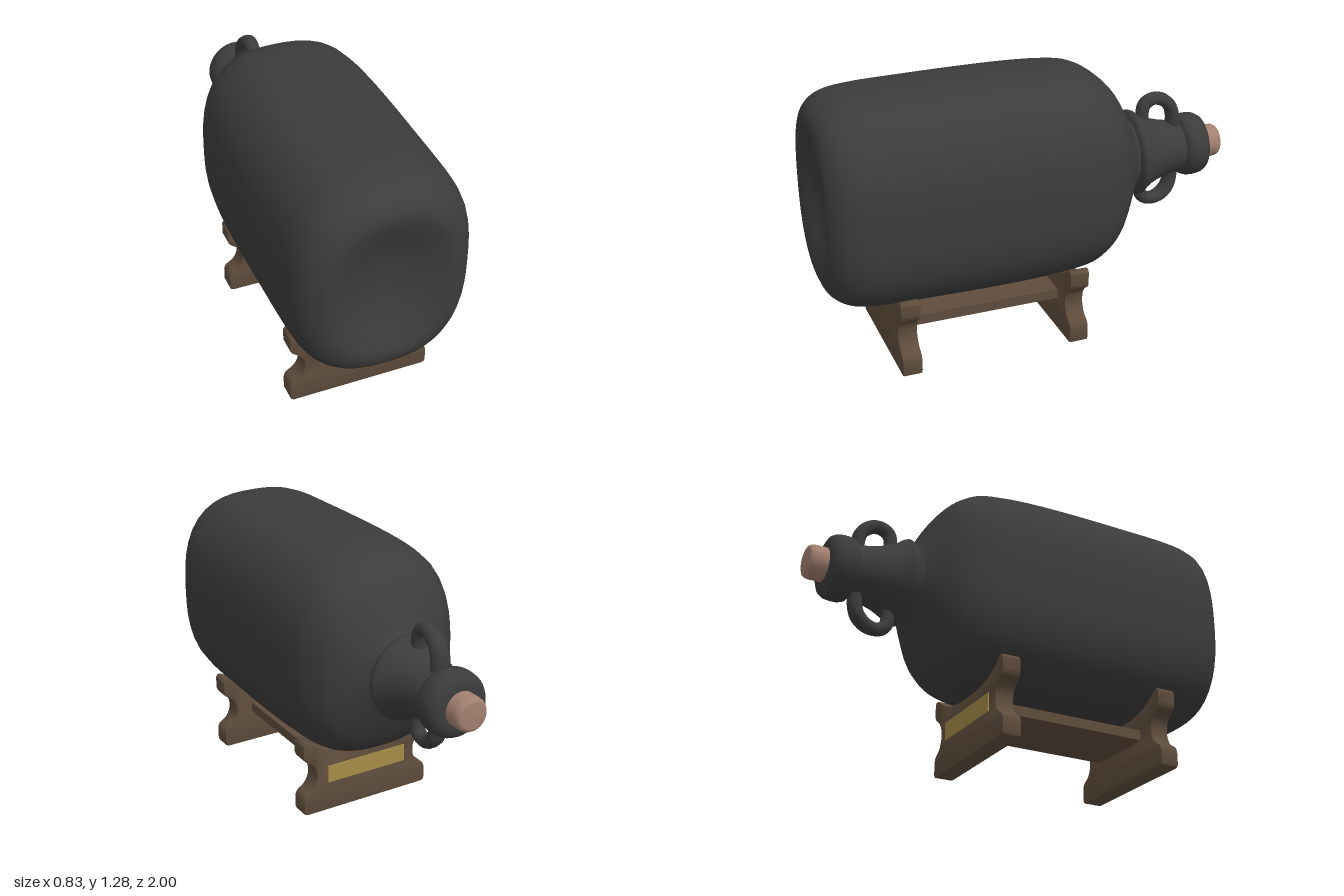
import * as THREE from 'three';
import { toCreasedNormals } from 'three/addons/utils/BufferGeometryUtils.js';

const AXIS_Y = 0.778; // height of the jug's axis

function mat(name, color) {
  const m = new THREE.MeshStandardMaterial({ color });
  m.name = name;
  return m;
}

function part(parent, name, geometry, material) {
  const mesh = new THREE.Mesh(geometry, material);
  mesh.name = name;
  parent.add(mesh);
  return mesh;
}

// Squarish-oval point: exponent 2 is an ellipse, higher is boxier
function ovalPoint(angle, hx, hy, n) {
  const c = Math.cos(angle), s = Math.sin(angle);
  const r = (Math.abs(c) ** n + Math.abs(s) ** n) ** (-1 / n);
  return [hx * r * c, hy * r * s];
}

// Jug body: loops of squarish-oval sections from the dimpled base to the neck
function bodyGeometry() {
  const sections = [ // z, half width, half height
    [0.925, 0.001, 0.001], [0.932, 0.08, 0.1], [0.955, 0.16, 0.2], [0.985, 0.23, 0.29],
    [1, 0.285, 0.355], [0.982, 0.325, 0.41], [0.94, 0.368, 0.448], [0.88, 0.395, 0.473],
    [0.77, 0.408, 0.488], [0.5, 0.413, 0.495], [0.2, 0.415, 0.498], [0, 0.412, 0.495],
    [-0.15, 0.403, 0.486], [-0.25, 0.388, 0.47], [-0.32, 0.362, 0.437], [-0.38, 0.327, 0.384],
    [-0.44, 0.262, 0.292], [-0.48, 0.208, 0.22], [-0.505, 0.178, 0.185], [-0.54, 0.165, 0.165],
  ].map((p) => new THREE.Vector3(...p));
  const rings = new THREE.CatmullRomCurve3(sections).getPoints(60);
  const seg = 48, pos = [], index = [];
  rings.forEach((p, i) => {
    const n = 2 + 0.7 * THREE.MathUtils.smoothstep(p.y, 0.15, 0.38);
    for (let j = 0; j < seg; j++) {
      pos.push(...ovalPoint((j / seg) * Math.PI * 2, p.y, p.z, n), p.x);
      if (i === 0) continue;
      const k = (j + 1) % seg, a = (i - 1) * seg, b = i * seg;
      index.push(a + j, b + j, b + k, a + j, b + k, a + k);
    }
  });
  const g = new THREE.BufferGeometry();
  g.setAttribute('position', new THREE.Float32BufferAttribute(pos, 3));
  g.setIndex(index);
  g.computeVertexNormals();
  return g;
}

// Turned part along the jug's axis; points are [radius, distance towards the back]
function turned(points) {
  const g = new THREE.LatheGeometry(points.map((p) => new THREE.Vector2(...p)), 40);
  return g.rotateX(-Math.PI / 2);
}

// Waisted board with a hollow top that follows the jug
function boardGeometry() {
  const side = new THREE.SplineCurve([
    [0.335, 0.075], [0.325, 0.1], [0.29, 0.125], [0.27, 0.16], [0.266, 0.195],
    [0.273, 0.23], [0.295, 0.26], [0.325, 0.283], [0.335, 0.305],
  ].map((p) => new THREE.Vector2(...p))).getPoints(24);
  const half = [new THREE.Vector2(0.318, 0), new THREE.Vector2(0.33, 0.005),
    new THREE.Vector2(0.335, 0.017), ...side, new THREE.Vector2(0.335, 0.362),
    new THREE.Vector2(0.325, 0.376)];
  for (let i = 0; i < 12; i++) {
    const x = 0.31 * (1 - i / 12);
    const y = AXIS_Y - 0.49 * (1 - (x / 0.415) ** 2.7) ** (1 / 2.7);
    half.push(new THREE.Vector2(x, Math.min(y, 0.376)));
  }
  const mirrored = half.map((p) => new THREE.Vector2(-p.x, p.y)).reverse();
  const shape = new THREE.Shape([...half, ...mirrored]);
  const g = new THREE.ExtrudeGeometry(shape, {
    depth: 0.078, bevelEnabled: true, bevelThickness: 0.007, bevelSize: 0.007,
    bevelOffset: -0.007, bevelSegments: 2,
  });
  g.translate(0, 0, -0.039);
  return toCreasedNormals(g, 0.6);
}

export function createModel() {
  const glaze = mat('dark glaze', 0x3c3c3c);
  const wood = mat('brown wood', 0x5e4c3c);
  const corkMat = mat('cork', 0xa38070);
  const brass = mat('brass', 0xa58b48);

  const model = new THREE.Group();
  model.name = 'jugOnStand';

  const jug = new THREE.Group();
  jug.name = 'jug';
  jug.position.y = AXIS_Y;
  model.add(jug);
  part(jug, 'body', bodyGeometry(), glaze);

  // Flared neck with its collar
  part(jug, 'neck', turned([
    [0.16, 0.515], [0.185, 0.522], [0.2, 0.534], [0.205, 0.548], [0.2, 0.56],
    [0.185, 0.578], [0.167, 0.61], [0.15, 0.65], [0.136, 0.7], [0.126, 0.75], [0.12, 0.8],
  ]), glaze);

  // Rounded lip
  part(jug, 'lip', turned([
    [0.11, 0.785], [0.125, 0.787], [0.142, 0.797], [0.15, 0.82], [0.151, 0.85],
    [0.147, 0.88], [0.136, 0.9], [0.115, 0.911], [0.09, 0.914], [0.0001, 0.914],
  ]), glaze);

  part(jug, 'cork', turned([
    [0.078, 0.9], [0.079, 0.96], [0.077, 0.982], [0.07, 0.994], [0.058, 0.999], [0.0001, 1],
  ]), corkMat);

  // Loop handles above and below the neck
  const loop = new THREE.CatmullRomCurve3([
    [0.13, -0.605], [0.19, -0.598], [0.235, -0.61], [0.257, -0.65],
    [0.248, -0.7], [0.21, -0.742], [0.16, -0.758], [0.11, -0.76],
  ].map(([y, z]) => new THREE.Vector3(0, y, z)));
  for (const [name, turn] of [['upperHandle', 0], ['lowerHandle', Math.PI]]) {
    const g = new THREE.TubeGeometry(loop, 36, 0.031, 14);
    // Widen the strap towards the lip
    const p = g.attributes.position;
    for (let i = 0; i < p.count; i++) {
      const t = THREE.MathUtils.smoothstep(-p.getZ(i), 0.64, 0.76);
      p.setX(i, p.getX(i) * (1.1 + 0.4 * t));
    }
    // Lower handle is a mirror image, made by turning the symmetric loop about z
    g.rotateZ(turn);
    part(jug, name, g, glaze);
  }

  // Wooden stand
  const stand = new THREE.Group();
  stand.name = 'stand';
  model.add(stand);
  const board = boardGeometry();
  part(stand, 'frontBoard', board, wood).position.z = 0.664;
  part(stand, 'backBoard', board, wood).position.z = -0.147;
  part(stand, 'crossPlank', new THREE.BoxGeometry(0.36, 0.048, 0.74), wood)
    .position.set(0, 0.19, 0.2585);

  // Blank name plate on the back board
  part(stand, 'plate', new THREE.BoxGeometry(0.42, 0.085, 0.008), brass)
    .position.set(0, 0.19, -0.195);

  return model;
}
